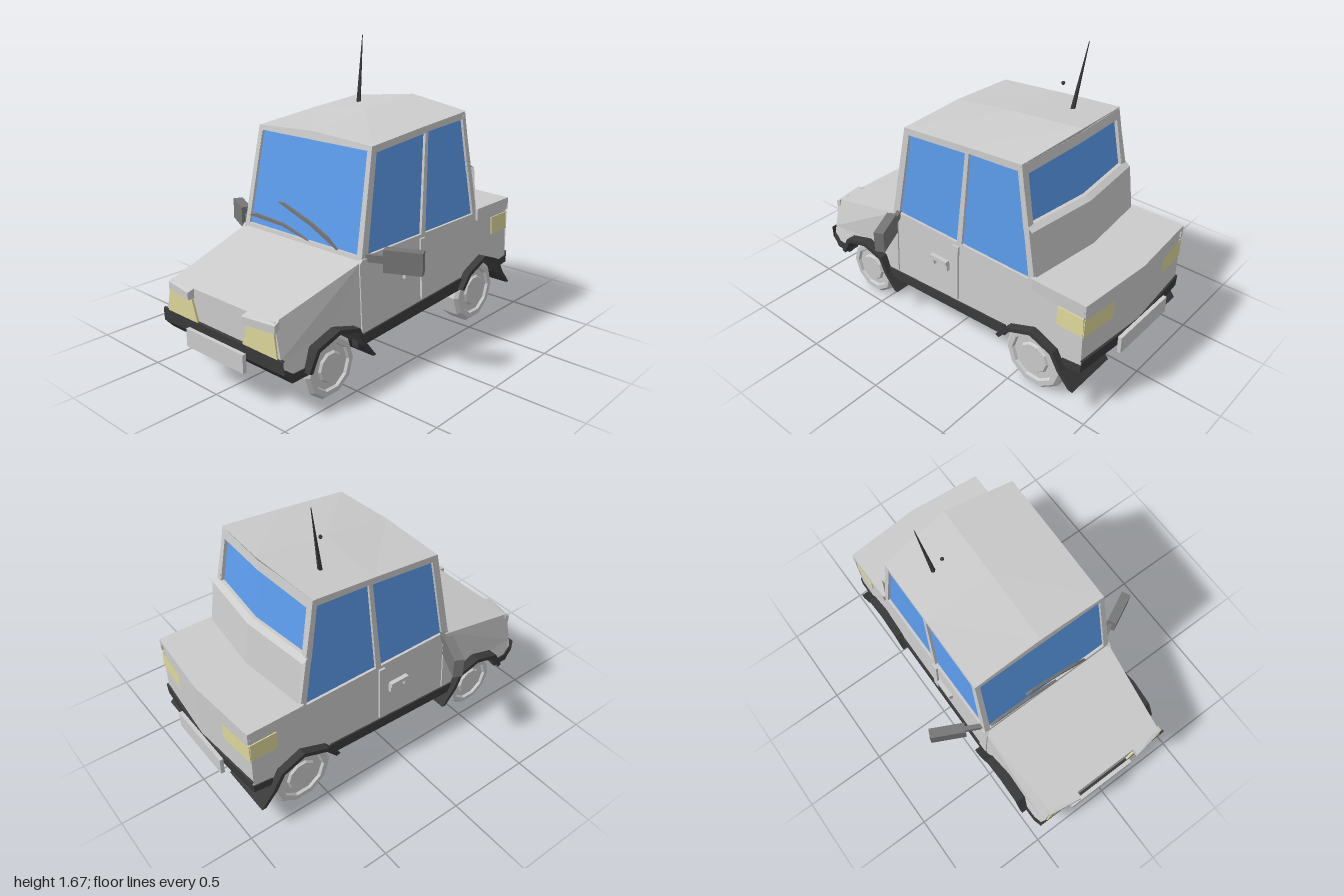
import * as THREE from 'three';

const paint = (color) => new THREE.MeshStandardMaterial({ color, flatShading: true, side: THREE.DoubleSide });
const GREY = paint(0xcccccc), DARK = paint(0x3a3a3a), GLASS = paint(0x5c9cec), LAMP = paint(0xddd79a), TRIM = paint(0x777777);

function mesh(name, geometry, material, parent) {
  const m = new THREE.Mesh(geometry, material);
  m.name = name;
  parent.add(m);
  return m;
}

function box(name, size, pos, material, parent) {
  const m = mesh(name, new THREE.BoxGeometry(...size), material, parent);
  m.position.set(...pos);
  return m;
}

// Grid surface: at(u, v) gives a point for every u, v pair
function patch(name, at, us, vs, material, parent) {
  const pos = [], index = [], n = us.length;
  vs.forEach((v) => us.forEach((u) => pos.push(...at(u, v))));
  for (let j = 0; j < vs.length - 1; j++) {
    for (let i = 0; i < n - 1; i++) {
      const a = j * n + i;
      index.push(a, a + 1, a + n, a + 1, a + n + 1, a + n);
    }
  }
  const g = new THREE.BufferGeometry();
  g.setAttribute('position', new THREE.Float32BufferAttribute(pos, 3));
  g.setIndex(index);
  g.computeVertexNormals();
  return mesh(name, g, material, parent);
}

const shapeOf = (pts, holes = []) => {
  const s = new THREE.Shape(pts.map((p) => new THREE.Vector2(...p)));
  s.holes = holes.map((h) => new THREE.Path(h.map((p) => new THREE.Vector2(...p))));
  return s;
};

// Extruded outline whose vertices are moved by a rule
function bent(name, shape, depth, rule, material, parent) {
  const g = new THREE.ExtrudeGeometry(shape, { depth, bevelEnabled: false });
  const p = g.attributes.position;
  for (let i = 0; i < p.count; i++) p.setXYZ(i, ...rule(p.getX(i), p.getY(i), p.getZ(i)));
  g.computeVertexNormals();
  return mesh(name, g, material, parent);
}

// Half width of the body: leans in upwards and narrows toward the nose
function halfWidth(z, y) {
  const nose = Math.max(0, z - 0.4) * 0.1 * THREE.MathUtils.clamp((y - 0.25) / 0.25, 0, 1);
  return 0.44 + (0.67 - y) * 0.05 - nose;
}

// Side panel drawn in (z, y) and laid on the body side
function sidePanel(name, pts, material, parent, out = 0, depth = 0.02, holes = []) {
  return bent(name, shapeOf(pts, holes), depth, (z, y, d) => [halfWidth(z, y) + out - d, y, z], material, parent);
}

const windscreenZ = (y) => 0.4 - (y - 0.67) * 0.19;
const rearZ = (x, y) => -0.60 + (y - 0.71) * 0.17 - 0.045 * (1 - Math.abs(x) / 0.44);
const tailZ = (x) => -0.93 - 0.04 * (1 - Math.abs(x) / 0.455);

// Everything on the +x side
function buildSide() {
  const side = new THREE.Group();

  // Body panels
  sidePanel('fender', [[0.4, 0.67], [0.95, 0.515], [0.955, 0.34], [0.95, 0.28], [0.91, 0.235], [0.81, 0.235],
    [0.77, 0.335], [0.62, 0.39], [0.49, 0.345], [0.45, 0.25], [0.4, 0.25]], GREY, side);
  sidePanel('doorAndRearQuarter', [[0.4, 0.67], [0.4, 0.25], [-0.43, 0.29], [-0.5, 0.36], [-0.64, 0.42], [-0.78, 0.37],
    [-0.83, 0.3], [-0.93, 0.32], [-0.93, 0.7], [-0.62, 0.7], [-0.62, 0.67]], GREY, side);

  // Window frame and glass
  const frontWindow = [[0.35, 0.69], [0.26, 1.2], [-0.14, 1.235], [-0.09, 0.69]];
  const rearWindow = [[-0.125, 0.69], [-0.165, 1.24], [-0.48, 1.26], [-0.58, 0.69]];
  sidePanel('sideWindowFrame', [[0.4, 0.67], [0.29, 1.235], [-0.11, 1.27], [-0.5, 1.3], [-0.62, 0.67]],
    GREY, side, 0, 0.03, [frontWindow, rearWindow]);
  sidePanel('frontSideWindow', frontWindow, GLASS, side, -0.015, 0.004);
  sidePanel('rearSideWindow', rearWindow, GLASS, side, -0.015, 0.004);

  // Door strips, sill and lower trim
  sidePanel('frontDoorStrip', [[0.42, 0.66], [0.42, 0.3], [0.36, 0.3], [0.36, 0.68], [0.4, 0.68]], GREY, side, 0.008);
  sidePanel('centreDoorStrip', [[-0.07, 0.67], [-0.07, 0.33], [-0.11, 0.33], [-0.11, 0.67]], GREY, side, 0.012);
  sidePanel('sill', [[0.46, 0.23], [0.46, 0.285], [-0.45, 0.335], [-0.45, 0.27]], DARK, side, 0.01, 0.04);
  sidePanel('frontLowerTrim', [[0.81, 0.22], [0.8, 0.26], [0.9, 0.26], [0.955, 0.3], [0.95, 0.27], [0.91, 0.22]], DARK, side, 0.006, 0.03);
  sidePanel('rearLowerTrim', [[-0.82, 0.285], [-0.82, 0.33], [-0.935, 0.345], [-0.935, 0.305]], DARK, side, 0.006, 0.03);

  // Door handle
  box('doorHandle', [0.025, 0.025, 0.12], [0.465, 0.54, 0.02], GREY, side);
  for (const z of [-0.03, 0.07]) box('doorHandleEnd', [0.02, 0.05, 0.02], [0.46, 0.515, z], GREY, side);

  // Wheel arches running down into mud flaps
  const arches = [
    [0.62, 0.18, [[0.81, 0.235], [0.76, 0.33], [0.62, 0.37], [0.49, 0.335], [0.45, 0.25], [0.375, 0.165]]],
    [-0.625, 0.195, [[-0.435, 0.27], [-0.5, 0.345], [-0.64, 0.4], [-0.77, 0.35], [-0.82, 0.265], [-0.895, 0.185]]],
  ];
  for (const [cz, cy, path] of arches) {
    const outer = path.map(([z, y]) => {
      const k = 0.025 / Math.hypot(z - cz, y - cy);
      return [z + (z - cz) * k, y + (y - cy) * k];
    });
    bent('wheelArch', shapeOf([...path, ...outer.reverse()]), 0.32, (z, y, d) => [0.5 - d, y, z], DARK, side);
  }

  // Wheels with a sunken rim ring
  for (const [z, y, r] of [[0.625, 0.18, 0.17], [-0.625, 0.198, 0.19]]) {
    const profile = [[0, -0.07], [0.88, -0.07], [1, -0.055], [1, 0.05], [0.9, 0.07], [0.74, 0.07], [0.7, 0.055],
      [0.5, 0.055], [0.45, 0.068], [0, 0.068]].map(([k, h]) => new THREE.Vector2(k * r, h));
    const wheel = mesh('wheel', new THREE.LatheGeometry(profile, 10), GREY, side);
    wheel.rotation.z = -Math.PI / 2;
    wheel.position.set(0.378, y, z);
  }

  // Door mirror
  const arm = box('mirrorArm', [0.13, 0.04, 0.025], [0.48, 0.68, 0.335], TRIM, side);
  const head = box('mirrorHead', [0.2, 0.12, 0.055], [0.61, 0.68, 0.275], TRIM, side);
  arm.rotation.y = head.rotation.y = 0.46;

  // Headlight under its brow
  const lamp = [[0.17, 0.33], [0.42, 0.33], [0.4, 0.465], [0.215, 0.465]];
  bent('headlight', shapeOf(lamp), 0.012, (x, y, d) => [x, y, 0.95 + d], LAMP, side);
  bent('headlightBrow', shapeOf([[0.93, 0.465], [0.99, 0.465], [0.99, 0.505], [0.93, 0.522]]), 0.2,
    (z, y, d) => [0.405 - d, y, z > 0.95 ? z - 0.03 * (1 - d / 0.2) : z], GREY, side);

  // Tail light wrapping round the corner
  sidePanel('tailLightSide', [[-0.77, 0.52], [-0.77, 0.625], [-0.935, 0.625], [-0.935, 0.52]], LAMP, side, 0.006, 0.012);
  patch('tailLightRear', (x, y) => [x, y, tailZ(x) - 0.007], [0.23, 0.452], [0.52, 0.625], LAMP, side);

  // Half of the rear window frame
  const frame = [[0, 0.95], [0.425, 0.95], [0.41, 1.3], [0, 1.32], [0, 1.27], [0.375, 1.245], [0.385, 0.985], [0, 0.985]];
  bent('rearWindowFrame', shapeOf(frame), 0.03, (x, y, d) => [x, y, rearZ(x, y) + d], GREY, side);
  return side;
}

export function createModel() {
  const car = new THREE.Group();
  car.name = 'car';

  const left = buildSide();
  left.name = 'leftSide';
  const right = left.clone();
  right.name = 'rightSide';
  right.scale.x = -1;
  car.add(left, right);
  const across = [-1, 0, 1];

  // Roof with a raised centre line and a rear lip
  const roof = [[0.29, 1.255, 1.235], [-0.13, 1.31, 1.275], [-0.505, 1.35, 1.305], [-0.475, 1.29, 1.26]];
  patch('roof', (u, i) => [u * 0.412, roof[i][u ? 2 : 1], roof[i][0] - (u || i < 2 ? 0 : 0.05)], across, [0, 1, 2, 3], GREY, car);

  // Windscreen and its frame
  const screen = [[-0.405, 0.69], [0.405, 0.69], [0.385, 1.21], [-0.385, 1.21]];
  bent('windscreenFrame', shapeOf([[-0.44, 0.66], [0.44, 0.66], [0.412, 1.235], [0, 1.255], [-0.412, 1.235]], [screen]),
    0.03, (x, y, d) => [x, y, windscreenZ(y) - 0.03 + d], GREY, car);
  bent('windscreen', shapeOf(screen), 0.004, (x, y, d) => [x, y, windscreenZ(y) - 0.02 + d], GLASS, car);

  // Rear window and the shelf below it
  patch('rearWindow', (u, y) => [u * 0.39, y, rearZ(u * 0.39, y) + 0.02], across, [0.97, 1.28], GLASS, car);
  const shelf = [[0.985, 0], [0.965, -0.03], [0.7, -0.02]];
  patch('rearShelf', (u, i) => [u * 0.43, shelf[i][0], rearZ(u * 0.43, shelf[i][0]) + shelf[i][1]], across, [0, 1, 2], GREY, car);

  // Bonnet and nose
  patch('bonnet', (u, z) => { const y = 0.67 - (0.4 - z) * -0.28; return [u * halfWidth(z, y), y, z]; }, across, [0.38, 0.95], GREY, car);
  patch('nose', (u, y) => [u * halfWidth(0.95, y), y, 0.95], across, [0.33, 0.516], GREY, car);

  // Boot lid, tail and bumpers
  const lid = [[-0.6, 0.715, 0], [-0.94, 0.715, 1], [-0.94, 0.69, 1], [-0.9, 0.64, 1]];
  patch('bootLid', (u, i) => [u * 0.45, lid[i][1], lid[i][0] - (u ? 0 : 0.035)], across, [0, 1, 2, 3], GREY, car);
  for (const s of [-1, 1]) box('bootLidEdge', [0.015, 0.07, 0.33], [s * 0.446, 0.68, -0.775], GREY, car);
  patch('tail', (u, y) => [u * 0.455, y, tailZ(u * 0.455)], across, [0.33, 0.69], GREY, car);
  const frontBumper = [[0.345, 0.95], [0.34, 0.963], [0.27, 0.96], [0.215, 0.91], [0.215, 0.82]];
  patch('frontBumper', (u, i) => [u * 0.462, ...frontBumper[i]], across, [0, 1, 2, 3, 4], DARK, car);
  const rearBumper = [[0.375, 0], [0.37, -0.01], [0.3, -0.005], [0.29, 0.1]];
  patch('rearBumper', (u, i) => [u * 0.462, rearBumper[i][0], tailZ(u * 0.455) + rearBumper[i][1]], across, [0, 1, 2, 3], DARK, car);

  // Blank plates
  box('frontPlate', [0.44, 0.1, 0.022], [-0.02, 0.248, 0.975], GREY, car);
  box('rearPlate', [0.44, 0.1, 0.022], [-0.02, 0.335, -0.989], GREY, car);

  // Wipers
  const wipers = [[[0.27, 0.69], [0.08, 0.78], [-0.16, 0.86], [-0.12, 0.862], [0.09, 0.795], [0.2, 0.745]],
    [[0.06, 0.69], [-0.13, 0.73], [-0.4, 0.738], [-0.35, 0.757], [-0.13, 0.745], [0, 0.71]]];
  for (const w of wipers) bent('wiper', shapeOf(w), 0.015, (x, y, d) => [x, y, 0.387 + d], TRIM, car);

  // Aerial and the small bead beside it
  const from = new THREE.Vector3(-0.228, 1.29, -0.325), to = new THREE.Vector3(-0.255, 1.69, -0.39);
  const aerial = mesh('aerial', new THREE.CylinderGeometry(0.002, 0.014, from.distanceTo(to), 5), DARK, car);
  aerial.position.copy(from).lerp(to, 0.5);
  aerial.quaternion.setFromUnitVectors(new THREE.Vector3(0, 1, 0), to.sub(from).normalize());
  mesh('aerialBead', new THREE.SphereGeometry(0.011, 6, 4), DARK, car).position.set(-0.185, 1.457, -0.29);

  return car;
}
